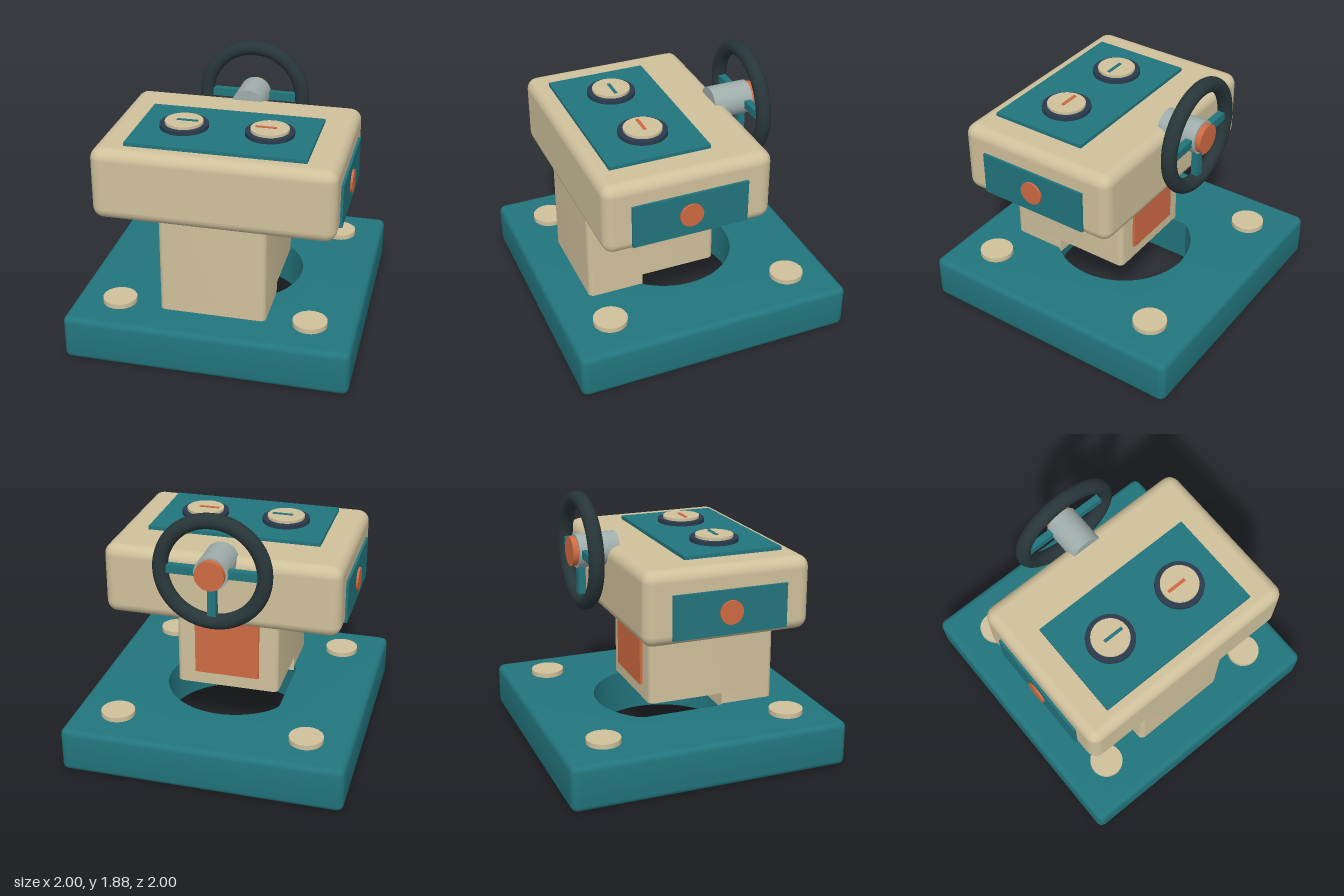
import * as THREE from 'three';
import { toCreasedNormals } from 'three/addons/utils/BufferGeometryUtils.js';
import { RoundedBoxGeometry } from 'three/addons/geometries/RoundedBoxGeometry.js';

const mat = (color) => new THREE.MeshStandardMaterial({ color });
const teal = mat(0x22757d), tan = mat(0xd0c19c), orange = mat(0xcf6a42);
const rubber = mat(0x283639), navy = mat(0x293b4d), steel = mat(0x9fadab);

export function createModel() {
  const model = new THREE.Group();

  const add = (name, geometry, material, x = 0, y = 0, z = 0, parent = model) => {
    const mesh = new THREE.Mesh(geometry, material);
    mesh.name = name;
    mesh.position.set(x, y, z);
    parent.add(mesh);
    return mesh;
  };
  // Box given by its limits
  const box = (name, m, x0, x1, y0, y1, z0, z1, parent) =>
    add(name, new THREE.BoxGeometry(x1 - x0, y1 - y0, z1 - z0), m,
      (x0 + x1) / 2, (y0 + y1) / 2, (z0 + z1) / 2, parent);
  const disc = (r, h) => new THREE.CylinderGeometry(r, r, h, 48);

  // Rectangle in plan with separate radii for its -v and +v corners
  const plan = (x0, x1, v0, v1, ra, rb) => {
    const s = new THREE.Shape();
    if (ra) s.absarc(x0 + ra, v0 + ra, ra, Math.PI, 1.5 * Math.PI);
    else s.moveTo(x0, v0);
    if (ra) s.absarc(x1 - ra, v0 + ra, ra, 1.5 * Math.PI, 2 * Math.PI);
    else s.lineTo(x1, v0);
    if (rb) s.absarc(x1 - rb, v1 - rb, rb, 0, Math.PI / 2);
    else s.lineTo(x1, v1);
    if (rb) s.absarc(x0 + rb, v1 - rb, rb, Math.PI / 2, Math.PI);
    else s.lineTo(x0, v1);
    s.closePath();
    return s;
  };
  // Upright extrusion of a plan shape (v = -z)
  const upright = (shape, y0, y1, bevel = 0) => {
    const g = new THREE.ExtrudeGeometry(shape, {
      depth: y1 - y0 - 2 * bevel, curveSegments: 8, bevelEnabled: bevel > 0,
      bevelSize: bevel, bevelThickness: bevel, bevelOffset: -bevel, bevelSegments: 4,
    });
    return g.rotateX(-Math.PI / 2).translate(0, y0 + bevel, 0);
  };

  // Base slab with a round opening that is cut flat on its -x side
  const slab = plan(-1, 1, -1, 1, 0.05, 0.05);
  const flat = Math.acos(-0.8);
  const hole = [];
  for (let i = 0; i <= 56; i++) {
    const a = -flat + (2 * flat * i) / 56;
    hole.push(new THREE.Vector2(0.5 * Math.cos(a), 0.5 * Math.sin(a)));
  }
  slab.holes.push(new THREE.Path(hole));
  const baseGeo = upright(slab, 0, 0.32, 0.04);
  // Pull the opening's bevel back to a straight wall
  const p = baseGeo.attributes.position;
  for (let i = 0; i < p.count; i++) {
    const x = p.getX(i), z = p.getZ(i), r = Math.hypot(x, z);
    if (r > 0.7) continue;
    const c = x / r;
    const k = (c < -0.8 ? 0.4 / -c : 0.5) / r;
    p.setX(i, x * k);
    p.setZ(i, z * k);
  }
  add('base', toCreasedNormals(baseGeo, 0.6), teal);

  for (const x of [-0.68, 0.68])
    for (const z of [-0.68, 0.68]) add('basePad', disc(0.12, 0.045), tan, x, 0.3325, z);

  // Column, standing on its front part only
  const column = new THREE.Group();
  column.name = 'column';
  model.add(column);
  add('columnBody', toCreasedNormals(upright(plan(-0.375, 0.375, -0.72, 0.235, 0.04, 0.04), 0.4, 1.0), 0.6), tan, 0, 0, 0, column);
  add('columnFoot', toCreasedNormals(upright(plan(-0.375, 0.375, -0.72, -0.32, 0.04, 0), 0.285, 0.4), 0.6), tan, 0, 0, 0, column);
  box('columnBackPanel', orange, -0.235, 0.235, 0.5, 1.0, -0.255, -0.225, column);

  // Head
  add('head', new RoundedBoxGeometry(1.675, 0.515, 1.195, 3, 0.08), tan, 0, 1.2425, 0.1575);
  box('topPlate', teal, -0.62, 0.62, 1.49, 1.525, -0.08, 0.635);

  // Dials with their pointers
  for (const s of [-1, 1]) {
    const dial = new THREE.Group();
    dial.name = 'dial';
    dial.position.set(s * 0.3, 0, 0.275);
    model.add(dial);
    add('dialRing', disc(0.17, 0.03), navy, 0, 1.538, 0, dial);
    add('dialFace', disc(0.133, 0.025), tan, 0, 1.56, 0, dial);
    box('dialPointer', s < 0 ? teal : orange,
      s < 0 ? -0.05 : -0.1, s < 0 ? 0.1 : 0.045, 1.565, 1.578, -0.011, 0.011, dial);
  }

  // Side plates with round buttons
  for (const s of [-1, 1]) {
    const side = new THREE.Group();
    side.name = 'sidePanel';
    model.add(side);
    add('sidePlate', new THREE.BoxGeometry(0.03, 0.31, 0.82), teal, s * 0.84, 1.185, 0.16, side);
    add('sideButton', disc(0.083, 0.03), orange, s * 0.855, 1.185, 0.16, side).rotation.z = Math.PI / 2;
  }

  // Handwheel on the back
  const wheel = new THREE.Group();
  wheel.name = 'handwheel';
  wheel.position.set(0, 1.4625, -0.6);
  model.add(wheel);
  add('wheelRim', new THREE.TorusGeometry(0.36, 0.053, 16, 64), rubber, 0, 0, 0, wheel);
  add('wheelHub', disc(0.118, 0.29), steel, 0, 0, 0.105, wheel).rotation.x = Math.PI / 2;
  add('hubCap', disc(0.103, 0.05), orange, 0, 0, -0.055, wheel).rotation.x = Math.PI / 2;
  for (const a of [0, Math.PI, -Math.PI / 2]) {
    const spoke = add('wheelSpoke', new THREE.BoxGeometry(0.3, 0.06, 0.05), teal,
      0.2 * Math.cos(a), 0.2 * Math.sin(a), 0, wheel);
    spoke.rotation.z = a;
  }

  return model;
}
